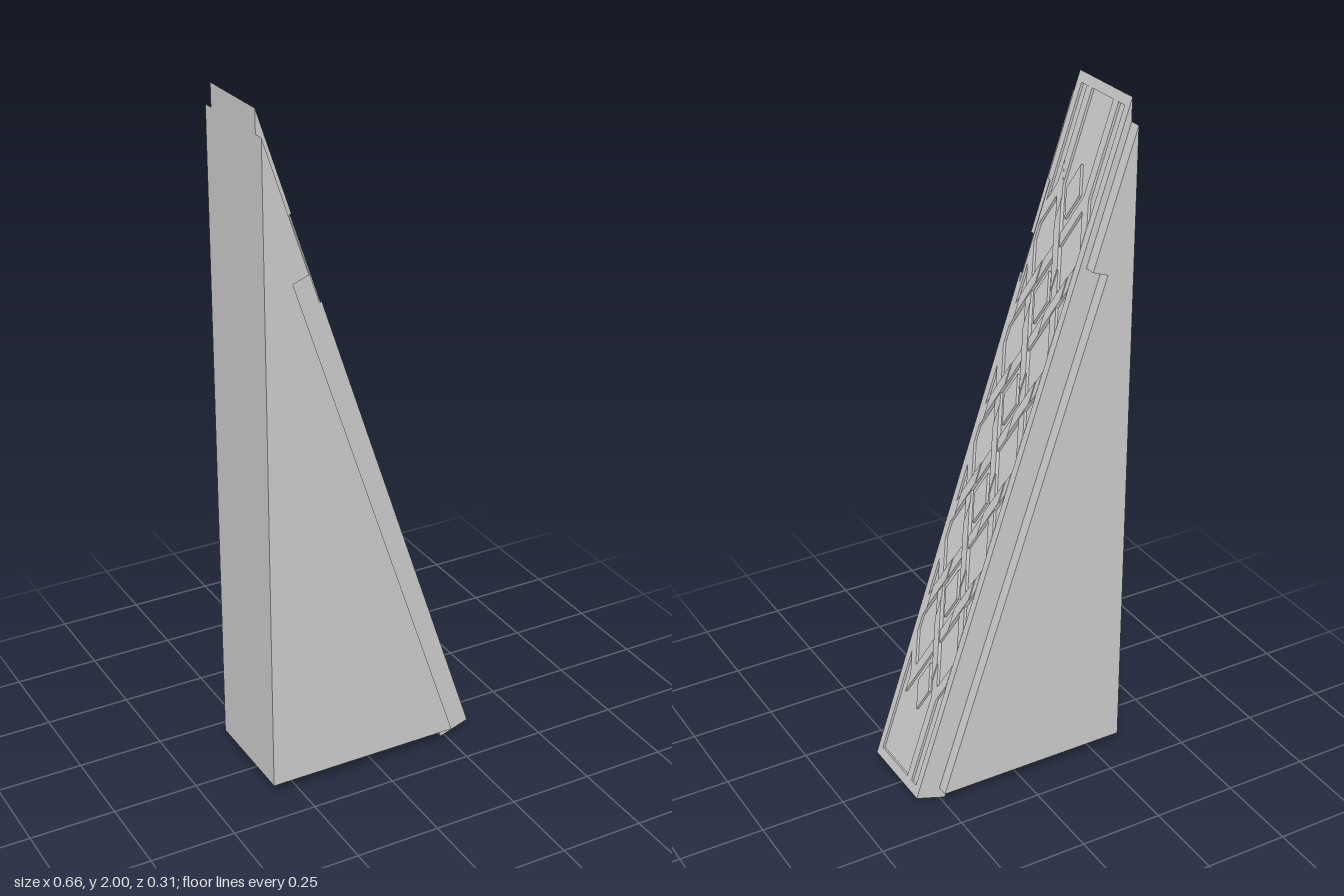
import * as THREE from 'three';

// Sloping face frame: u runs down the slope, v across (-z), w outward.
const R = Math.sqrt(10), TOP = [-0.33, 2], LEN = 2.076;
const P = (u, w) => [TOP[0] + (u + 3 * w) / R, TOP[1] + (-3 * u + w) / R];
const DEPTH = 0.007;               // recess depth
const V = 0.103;                   // recess half width
const SLOPE = 0.427, ROW = 0.0635; // strap lattice
const HU = 0.032;                  // strap half width along u

const mat = new THREE.MeshStandardMaterial({ color: 0xcccccc, flatShading: true });

function prism(name, points, depth, z, hole) {
  const toShape = (p) => p.map(([x, y]) => new THREE.Vector2(x, y));
  const shape = new THREE.Shape(toShape(points));
  if (hole) shape.holes.push(new THREE.Path(toShape(hole)));
  const geo = new THREE.ExtrudeGeometry(shape, { depth, bevelEnabled: false });
  geo.translate(0, 0, z);
  const mesh = new THREE.Mesh(geo, mat);
  mesh.name = name;
  return mesh;
}

const rect = (u1, u2, v1, v2) => [[u1, v1], [u2, v1], [u2, v2], [u1, v2]];

export function createModel() {
  const model = new THREE.Group();
  model.name = 'wedge';

  // Wide supporting wedge with a step near the top
  model.add(prism('wedgeBody', [
    [-0.33, 0.04], [0.253, 0.04], [-0.25, 1.54], [-0.204, 1.557], [-0.33, 1.935],
  ], 0.315, -0.158));

  // Narrower sloping slab
  model.add(prism('slab', [
    P(0, 0), P(0.024, 0), P(0.024, -DEPTH), P(LEN, -DEPTH),
    P(LEN, -0.095), P(0.285, -0.095),
  ], 0.25, -0.125));

  // Carved panel, lying on the slope
  const panel = new THREE.Group();
  panel.name = 'carvedPanel';
  const basis = new THREE.Matrix4().makeBasis(
    new THREE.Vector3(1 / R, -3 / R, 0),
    new THREE.Vector3(0, 0, -1),
    new THREE.Vector3(3 / R, 1 / R, 0),
  );
  panel.quaternion.setFromRotationMatrix(basis);
  panel.position.set(TOP[0], TOP[1], 0);
  model.add(panel);

  // Raised rim with a notch in one edge
  panel.add(prism('rim', [
    [0.024, -0.125], [0.30, -0.125], [0.30, -0.113], [0.59, -0.113], [0.565, -0.125],
    [LEN, -0.125], [LEN, 0.125], [0.024, 0.125],
  ], DEPTH, -DEPTH, rect(0.028, 2.046, -V, V)));

  const raise = (name, points, height) => panel.add(prism(name, points, height, -DEPTH));
  // Diagonal strap through (u0, 0) between two rows, s = direction
  const strap = (name, u0, s, v1, v2, height) => {
    const a = u0 + s * v1 / SLOPE, b = u0 + s * v2 / SLOPE;
    raise(name, [[a - HU, v1], [a + HU, v1], [b + HU, v2], [b - HU, v2]], height);
  };

  const PITCH = 0.297, FIRST = 0.443, COUNT = 5;
  const node = (k) => FIRST + k * PITCH;
  const END = ROW + 0.0125;
  for (const s of [1, -1]) {
    // Interlaced straps; outermost ones stop at the bend
    for (let k = 0; k < COUNT; k++) {
      const left = k === 0 ? END : V, right = k === COUNT - 1 ? END : V;
      strap('strap', node(k), s, s > 0 ? -left : -right, s > 0 ? right : left, 0.008);
    }
    // Short stubs at both ends of the lattice
    strap('strapStub', node(-1), s, s > 0 ? ROW : -V, s > 0 ? V : -ROW, 0.008);
    strap('strapStub', node(COUNT), s, s > 0 ? -V : ROW, s > 0 ? -ROW : V, 0.008);
    // Straight strap running to the top end
    raise('topStrap', rect(0.028, node(-0.5) + 0.01, s * ROW - 0.0125, s * ROW + 0.0125), 0.0075);
  }
  // Single straight strap running to the bottom end
  raise('bottomStrap', rect(node(COUNT - 0.5) - 0.01, 2.046, ROW - 0.0125, ROW + 0.0125), 0.0075);

  // Raised crossings: one direction on top mid-panel, the other at the sides
  for (let k = 0; k < COUNT; k++) {
    strap('crossing', node(k), 1, -0.036, 0.036, 0.011);
    if (k < COUNT - 1) {
      strap('crossing', node(k), -1, -ROW - 0.025, -ROW + 0.025, 0.011);
      strap('crossing', node(k + 1), -1, ROW - 0.025, ROW + 0.025, 0.011);
    }
  }

  // Diamonds filling the middle cells
  for (let k = 0; k <= COUNT; k++) {
    const u = node(k - 0.5);
    raise('diamond', [[u - 0.075, 0], [u, -0.032], [u + 0.075, 0], [u, 0.032]], 0.008);
  }
  return model;
}
